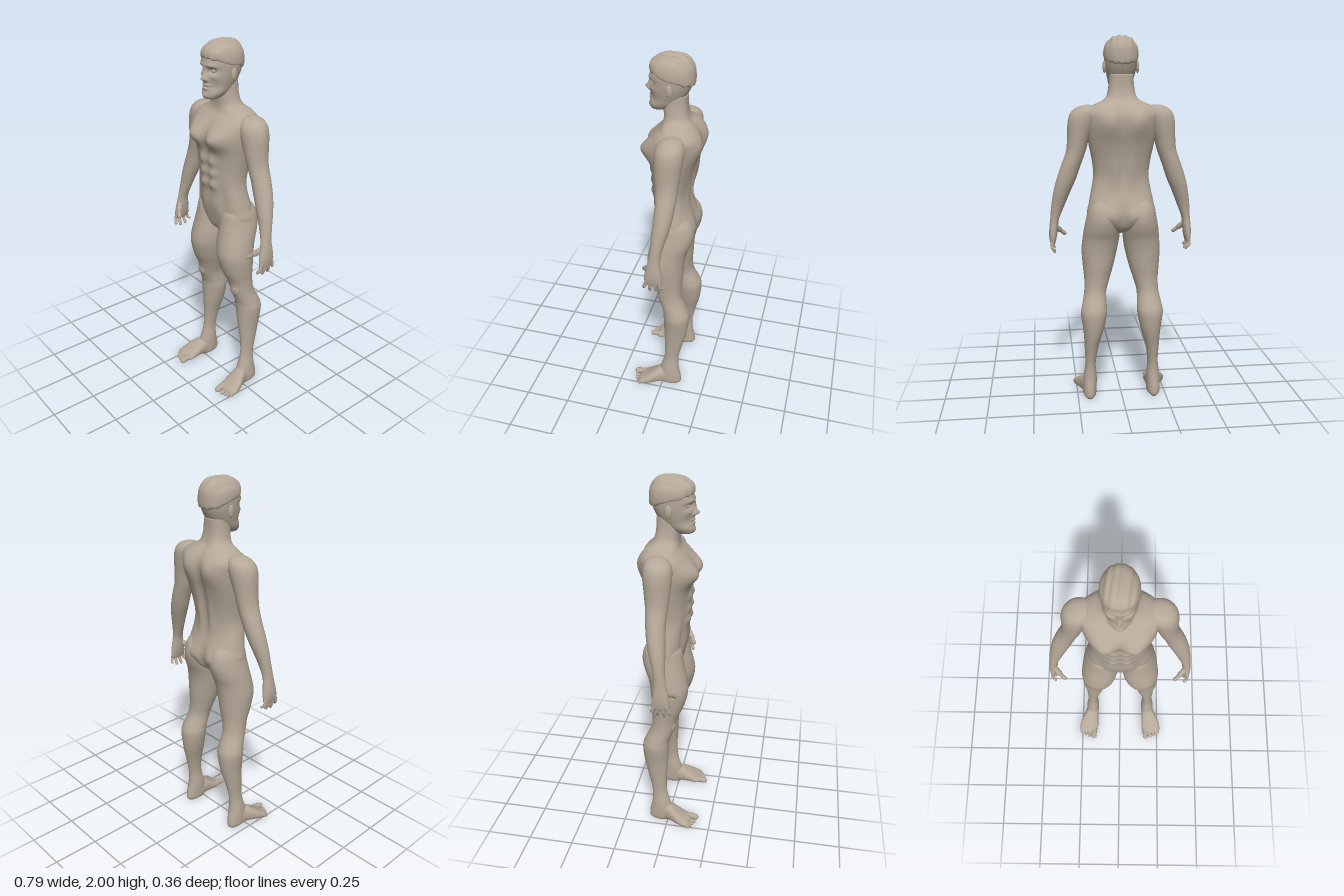
import * as THREE from 'three';

const skin = new THREE.MeshStandardMaterial({ color: 0xb5a898 });
skin.name = 'warm clay';

// Catmull-Rom blend of two neighbouring section rows
function blend(rows, i, t) {
  const at = k => rows[Math.min(Math.max(k, 0), rows.length - 1)];
  const [a, b, c, d] = [at(i - 1), at(i), at(i + 1), at(i + 2)];
  return b.map((_, k) => 0.5 * (2 * b[k] + (c[k] - a[k]) * t
    + (2 * a[k] - 5 * b[k] + 4 * c[k] - d[k]) * t * t
    + (3 * b[k] - a[k] - 3 * c[k] + d[k]) * t * t * t));
}

// Closed skin over rows [y, xMin, xMax, zFront, zBack], ordered upwards
function loft(rows, { sides = 28, steps = 5, power = 1, warp = null } = {}) {
  const pos = [], idx = [], rings = (rows.length - 1) * steps + 1;
  const curve = v => Math.sign(v) * Math.abs(v) ** power;
  for (let r = 0; r < rings; r++) {
    const i = Math.min(Math.floor(r / steps), rows.length - 2);
    const [y, x0, x1, zf, zb] = blend(rows, i, r / steps - i);
    for (let j = 0; j < sides; j++) {
      const a = j / sides * Math.PI * 2;
      const p = new THREE.Vector3((x0 + x1) / 2 + curve(Math.cos(a)) * (x1 - x0) / 2, y,
        (zf + zb) / 2 + curve(Math.sin(a)) * (zf - zb) / 2);
      if (warp) warp(p, Math.sin(a));
      pos.push(p.x, p.y, p.z);
    }
  }
  for (let r = 0; r < rings - 1; r++) for (let j = 0; j < sides; j++) {
    const a = r * sides + j, b = r * sides + (j + 1) % sides, c = a + sides, d = b + sides;
    idx.push(a, c, b, b, c, d);
  }
  // end caps
  for (const r of [0, rings - 1]) {
    const centre = pos.length / 3, mid = [0, 0, 0];
    for (let j = 0; j < sides; j++) for (let k = 0; k < 3; k++) mid[k] += pos[(r * sides + j) * 3 + k] / sides;
    pos.push(...mid);
    for (let j = 0; j < sides; j++) {
      const a = r * sides + j, b = r * sides + (j + 1) % sides;
      if (r) idx.push(centre, b, a); else idx.push(centre, a, b);
    }
  }
  const g = new THREE.BufferGeometry();
  g.setAttribute('position', new THREE.Float32BufferAttribute(pos, 3));
  g.setIndex(idx);
  g.computeVertexNormals();
  return g;
}

// Muscle and face relief: [|x|, y, spreadX, spreadY, height, side]
const relief = bumps => (p, facing) => {
  let dz = 0;
  for (const [x, y, sx, sy, h, side] of bumps) {
    const w = Math.min(1, Math.max(0, facing * side * 2));
    dz += side * h * w * Math.exp(-(((Math.abs(p.x) - x) / sx) ** 2) - ((p.y - y) / sy) ** 2);
  }
  p.z += dz;
};

const centred = rows => rows.map(([y, w, zf, zb]) => [y, -w, w, zf, zb]);
const mirrored = (rows, s) => s > 0 ? rows : rows.map(([y, a, b, f, k]) => [y, -b, -a, f, k]);

function add(parent, name, geometry) {
  const m = new THREE.Mesh(geometry, skin);
  m.name = name;
  parent.add(m);
  return m;
}

// Rounded rod between two points, for fingers and toes
function rod(parent, name, a, b, r, s) {
  const p = new THREE.Vector3(a[0] * s, a[1], a[2]), q = new THREE.Vector3(b[0] * s, b[1], b[2]);
  const m = add(parent, name, new THREE.CapsuleGeometry(r, p.distanceTo(q), 5, 10));
  m.position.copy(p).lerp(q, 0.5);
  m.quaternion.setFromUnitVectors(new THREE.Vector3(0, 1, 0), q.sub(p).normalize());
}

function ball(parent, name, x, y, z, rx, ry, rz) {
  add(parent, name, new THREE.SphereGeometry(1, 20, 14).scale(rx, ry, rz).translate(x, y, z));
}

const torsoRows = centred([
  [0.955, .03, .01, -.07], [0.99, .1, .045, -.12], [1.05, .182, .062, -.14], [1.12, .176, .072, -.13],
  [1.2, .16, .08, -.11], [1.27, .15, .085, -.107], [1.35, .158, .088, -.12], [1.43, .174, .095, -.14],
  [1.5, .187, .108, -.158], [1.56, .195, .098, -.163], [1.605, .198, .07, -.155], [1.64, .155, .04, -.135],
  [1.675, .088, .032, -.105], [1.73, .069, .035, -.09], [1.8, .064, .04, -.088]]);
const torsoBumps = [
  [.075, 1.515, .06, .05, .038, 1], [.12, 1.55, .05, .04, .01, 1], [0, 1.52, .015, .08, -.012, 1], // chest
  ...[1.385, 1.32, 1.255].map(y => [.036, y, .026, .026, .016, 1]), // abdomen
  [.1, 1.17, .02, .08, -.008, 1], [.035, 1.13, .05, .06, .008, 1],
  [.08, 1.56, .055, .07, .02, -1], [0, 1.45, .025, .2, -.018, -1], // shoulder blades and spine
  [.04, 1.28, .025, .09, .01, -1], [.085, 1.06, .06, .055, .018, -1], [0, 1.03, .015, .07, -.02, -1]];

const headRows = centred([
  [1.712, .025, .085, .03], [1.72, .042, .1, .01], [1.745, .06, .105, -.03], [1.78, .07, .1, -.07],
  [1.82, .08, .099, -.095], [1.86, .086, .099, -.11], [1.9, .087, .102, -.116], [1.945, .08, .09, -.11],
  [1.975, .06, .065, -.09], [1.99, .03, .03, -.05]]);
const faceBumps = [
  [0, 1.82, .013, .016, .026, 1], [0, 1.85, .01, .03, .014, 1], [.014, 1.814, .008, .008, .008, 1], // nose
  [.036, 1.858, .02, .014, -.02, 1], [.036, 1.884, .03, .01, .008, 1], [.055, 1.83, .018, .015, .006, 1],
  [0, 1.785, .024, .006, .009, 1], [0, 1.769, .02, .006, .009, 1], [0, 1.777, .025, .003, -.006, 1], // lips
  [0, 1.732, .022, .014, .008, 1], [.05, 1.78, .02, .025, -.007, 1]];

const hairRows = centred([
  [1.89, .082, .092, -.112], [1.9, .091, .104, -.122], [1.93, .09, .103, -.123], [1.955, .081, .092, -.117],
  [1.98, .06, .066, -.095], [1.993, .035, .04, -.065], [1.997, .008, .01, -.03]]);

const armRows = [
  [.89, .362, .388, .045, -.045], [.93, .352, .394, .046, -.048], [.98, .345, .392, .036, -.042],
  [1.03, .338, .386, .026, -.038], [1.1, .31, .38, .018, -.048], [1.18, .277, .367, .016, -.07],
  [1.25, .246, .35, .012, -.085], [1.33, .218, .322, .01, -.095], [1.4, .192, .297, .016, -.1],
  [1.47, .172, .289, .024, -.108], [1.55, .14, .286, .03, -.118], [1.6, .125, .272, .024, -.117],
  [1.63, .13, .24, 0, -.1], [1.643, .165, .2, -.035, -.07]];

const legRows = [
  [0, .158, .208, .02, -.098], [.018, .146, .22, .03, -.11], [.06, .143, .222, .03, -.107],
  [.12, .142, .218, .012, -.095], [.2, .148, .207, -.008, -.093], [.3, .134, .21, -.01, -.113],
  [.4, .106, .216, -.004, -.138], [.5, .085, .229, 0, -.148], [.55, .085, .222, .005, -.135],
  [.62, .085, .208, .03, -.103], [.69, .066, .206, .047, -.095], [.76, .044, .212, .078, -.1],
  [.85, .022, .218, .1, -.106], [.92, .01, .212, .093, -.118], [.98, .006, .204, .08, -.14],
  [1.04, .008, .192, .07, -.152], [1.1, .02, .178, .06, -.14], [1.15, .05, .15, .03, -.1]];

// Foot rows run along z: [z, xMin, xMax, -sole, -top]
const footRows = [
  [-.07, .15, .215, 0, -.06], [-.02, .146, .222, -.002, -.105], [.02, .145, .238, -.003, -.105],
  [.06, .146, .258, -.002, -.08], [.1, .147, .268, 0, -.052], [.125, .152, .266, -.002, -.038],
  [.138, .165, .25, -.008, -.026]];

export function createModel() {
  const model = new THREE.Group();
  model.name = 'standing figure';
  add(model, 'torso', loft(torsoRows, { sides: 72, steps: 7, power: 0.85, warp: relief(torsoBumps) }));

  const head = new THREE.Group();
  head.name = 'head';
  model.add(head);
  add(head, 'face', loft(headRows, { sides: 96, steps: 9, power: 0.9, warp: relief(faceBumps) }));
  // swept hair: the hairline rises towards the front, with shallow combed strands
  add(head, 'hair', loft(hairRows, { sides: 72, power: 0.9, warp: p => {
    const low = Math.max(0, (1.99 - p.y) / 0.1);
    p.y += low * (0.3 * p.z - 0.006) + 0.003 * Math.sin(p.x * 190 + p.z * 25);
  } }));

  for (const s of [1, -1]) {
    const side = s > 0 ? 'left' : 'right';
    ball(head, side + 'Eye', s * .035, 1.858, .073, .014, .009, .012);
    ball(head, side + 'Ear', s * .088, 1.838, -.012, .009, .032, .018);

    // arm and hand
    const arm = new THREE.Group();
    arm.name = side + 'Arm';
    model.add(arm);
    add(arm, 'armAndPalm', loft(mirrored(armRows, s)));
    [[.034, .05, .85, .0095], [.012, .017, .836, .0098], [-.012, -.018, .84, .0095], [-.034, -.05, .858, .0085]]
      .forEach(([z0, z1, y, r], i) => {
        const knuckle = [.38, .91, z0], middle = [.378, .875, (z0 + z1) / 2], tip = [.366, y + r, z1];
        rod(arm, 'finger' + (i + 1), knuckle, middle, r, s);
        rod(arm, 'fingertip' + (i + 1), middle, tip, r * 0.9, s);
      });
    rod(arm, 'thumbBase', [.362, .985, .018], [.335, .958, .045], .0155, s);
    rod(arm, 'thumb', [.335, .958, .045], [.307, .932, .064], .011, s);

    // leg and foot
    const leg = new THREE.Group();
    leg.name = side + 'Leg';
    model.add(leg);
    add(leg, 'legAndHeel', loft(mirrored(legRows, s)));
    ball(leg, 'kneecap', s * .147, .645, .018, .036, .045, .022);
    add(leg, 'foot', loft(mirrored(footRows, s), { power: 0.85 }).rotateX(Math.PI / 2));
    [[.174, .163, .017], [.206, .158, .0105], [.227, .15, .01], [.244, .141, .0095], [.259, .13, .009]]
      .forEach(([x, z, r], i) => rod(leg, 'toe' + (i + 1), [x - .004, r + .012, .105], [x, r + .002, z], r, s));
  }
  return model;
}
